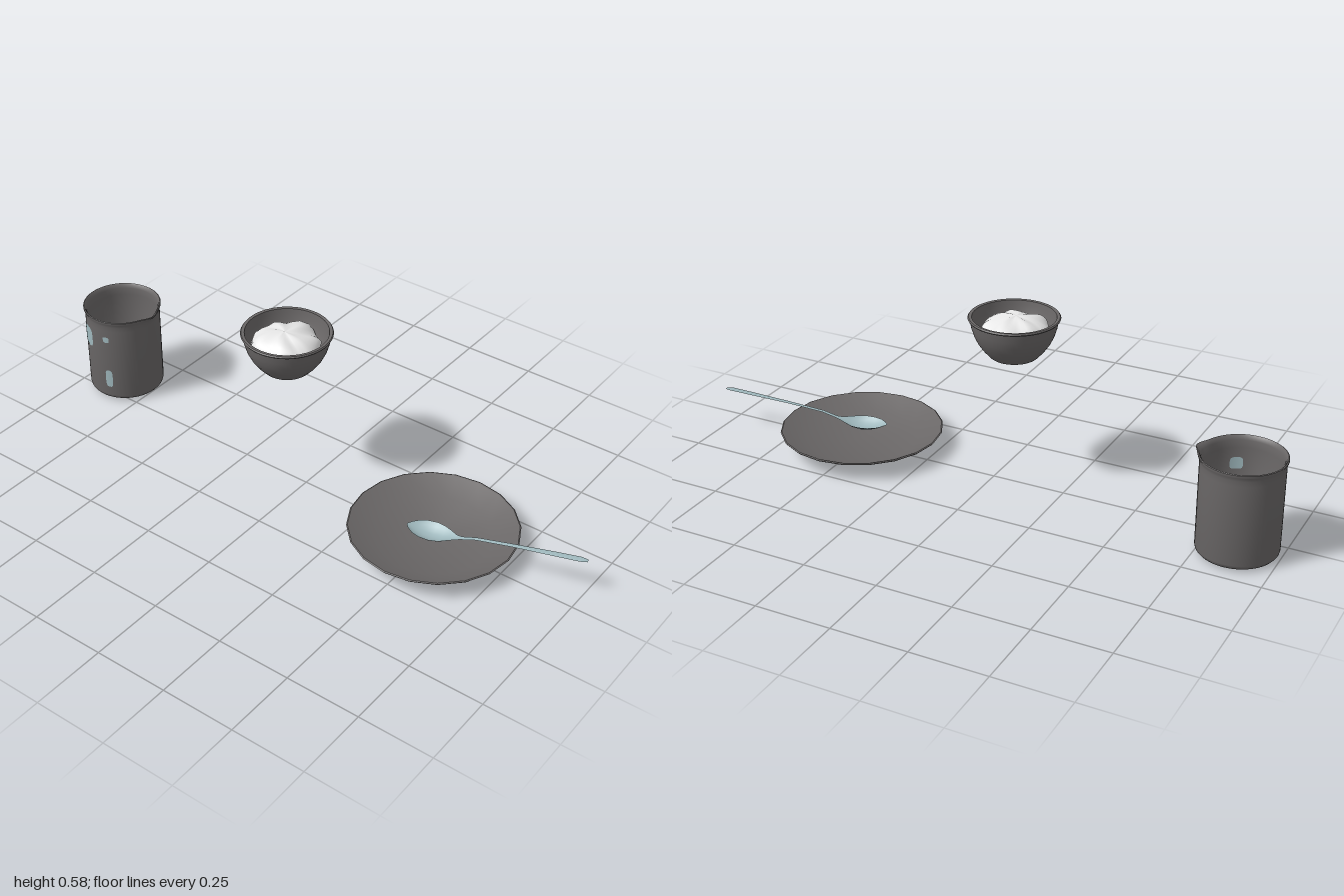
import * as THREE from 'three';
import { toCreasedNormals } from 'three/addons/utils/BufferGeometryUtils.js';

const material = (name, color, side = THREE.FrontSide) => {
  const m = new THREE.MeshStandardMaterial({ color, side });
  m.name = name;
  return m;
};

// Move every vertex of a geometry by a rule
function reshape(geometry, rule) {
  const p = geometry.attributes.position;
  const v = new THREE.Vector3();
  for (let i = 0; i < p.count; i++) {
    v.fromBufferAttribute(p, i);
    rule(v);
    p.setXYZ(i, v.x, v.y, v.z);
  }
  geometry.computeVertexNormals();
  return geometry;
}

const lathe = (profile, sides) =>
  new THREE.LatheGeometry(profile.map(([r, y]) => new THREE.Vector2(r, y)), sides);

export function createModel() {
  const model = new THREE.Group();
  const grey = material('dark grey', 0x6a6767);
  const teal = material('pale teal', 0x9fb8bd, THREE.DoubleSide);
  const white = material('off white', 0xe6e6e6);

  const add = (parent, name, geometry, mat) => {
    const mesh = new THREE.Mesh(geometry, mat);
    mesh.name = name;
    parent.add(mesh);
    return mesh;
  };
  const place = (name, x, z) => {
    const group = new THREE.Group();
    group.name = name;
    group.position.set(x, 0, z);
    model.add(group);
    return group;
  };

  // Beaker: thin wall, rounded foot, flared rim with a pouring spout
  const beaker = place('beaker', -0.866, -0.084);
  const wall = lathe([
    [0, 0.01], [0.114, 0.01], [0.122, 0.012], [0.127, 0.018], [0.129, 0.026],
    [0.129, 0.29], [0.129, 0.308], [0.131, 0.318], [0.134, 0.324], [0.134, 0.329],
    [0.131, 0.331], [0.127, 0.327], [0.123, 0.315], [0.122, 0.29], [0.122, 0.028],
    [0.117, 0.02], [0, 0.018],
  ], 64);
  reshape(wall, (v) => {
    const t = Math.max(0, (v.y - 0.29) / 0.04);
    const r = Math.hypot(v.x, v.z);
    if (t === 0 || r === 0) return;
    const k = 1 + (0.014 * t * t * Math.exp(-((Math.atan2(v.z, v.x) / 0.22) ** 2))) / r;
    v.x *= k;
    v.z *= k;
  });
  add(beaker, 'beakerWall', toCreasedNormals(wall, 0.7), grey);

  // Printed marks: rounded patches wrapped onto the wall
  const mark = (name, radius, x, y, halfW, halfH) => {
    const patch = new THREE.RingGeometry(0, 1, 32, 6);
    reshape(patch, (v) => {
      const a = Math.atan2(v.y, v.x);
      const k = (Math.cos(a) ** 4 + Math.sin(a) ** 4) ** -0.25;
      const theta = Math.asin((x + v.x * k * halfW) / radius);
      v.set(Math.sin(theta) * radius, y + v.y * k * halfH, Math.cos(theta) * radius);
    });
    add(beaker, name, patch, teal);
  };
  mark('largeMark', 0.1302, -0.062, 0.238, 0.032, 0.038);
  mark('smallMark', 0.1302, 0.032, 0.254, 0.011, 0.011);
  mark('tallMark', 0.1302, 0.034, 0.094, 0.013, 0.034);
  mark('innerMark', 0.1212, 0.055, 0.238, 0.018, 0.02);

  // Bowl with a rolled lip
  const bowl = place('bowl', -0.065, 0.013);
  add(bowl, 'bowlShell', toCreasedNormals(lathe([
    [0, 0.446], [0.075, 0.446], [0.079, 0.449], [0.098, 0.47], [0.115, 0.494],
    [0.127, 0.519], [0.135, 0.545], [0.139, 0.57], [0.144, 0.571], [0.146, 0.575],
    [0.143, 0.579], [0.133, 0.578], [0.131, 0.565], [0.126, 0.542], [0.118, 0.517],
    [0.106, 0.493], [0.09, 0.471], [0.07, 0.455], [0, 0.453],
  ], 56), 0.7), grey);

  // Lumpy heap of powder in the bowl
  const heap = new THREE.SphereGeometry(1, 28, 12, 0, Math.PI * 2, 0, Math.PI / 2);
  reshape(heap, (v) => {
    const a = Math.atan2(v.z, v.x);
    const r = Math.hypot(v.x, v.z);
    const edge = 0.11 + 0.006 * Math.sin(3 * a + 0.6) + 0.004 * Math.sin(7 * a);
    const lump = 0.006 * r * Math.sin(5 * a + 4 * r) + 0.003 * r * Math.sin(9 * a);
    v.set(v.x * edge - 0.004, 0.526 + 0.053 * v.y + lump, v.z * edge + 0.012 * v.y - 0.006);
  });
  add(bowl, 'powderHeap', heap, white);

  // Plate: shallow, with straight sloping sides and few facets
  const plate = place('plate', 0.5, 0);
  add(plate, 'plateShell', toCreasedNormals(lathe([
    [0, 0.004], [0.153, 0.004], [0.271, 0.065], [0.274, 0.069], [0.27, 0.071],
    [0.264, 0.069], [0.187, 0.031], [0, 0.028],
  ], 20), 0.45), grey);

  // Spoon sections: distance from tip, half width, height, hollow depth
  const sections = [
    [0, 0.003, 0.073, 0], [0.012, 0.019, 0.073, 0.006], [0.03, 0.034, 0.073, 0.014],
    [0.055, 0.044, 0.073, 0.021], [0.085, 0.047, 0.073, 0.024], [0.115, 0.04, 0.073, 0.02],
    [0.14, 0.027, 0.074, 0.011], [0.16, 0.014, 0.075, 0.004], [0.18, 0.008, 0.079, 0],
    [0.23, 0.007, 0.094, -0.001], [0.35, 0.008, 0.111, -0.001], [0.47, 0.011, 0.125, -0.001],
    [0.56, 0.012, 0.135, -0.001], [0.582, 0.006, 0.136, 0],
  ];
  const across = 8;
  const positions = [];
  const index = [];
  sections.forEach(([s, w, y, depth], i) => {
    for (let j = 0; j <= across; j++) {
      const u = (j / across) * 2 - 1;
      positions.push(s, y - depth * (1 - u * u), u * w);
      if (i === 0 || j === 0) continue;
      const d = i * (across + 1) + j;
      const b = d - across - 1;
      index.push(b - 1, b, d - 1, b, d, d - 1);
    }
  });
  const spoonGeometry = new THREE.BufferGeometry();
  spoonGeometry.setAttribute('position', new THREE.Float32BufferAttribute(positions, 3));
  spoonGeometry.setIndex(index);
  spoonGeometry.computeVertexNormals();
  const spoon = add(model, 'spoon', spoonGeometry, teal);
  spoon.position.set(0.43, 0, 0.045);
  spoon.rotation.y = 0.204;

  return model;
}
